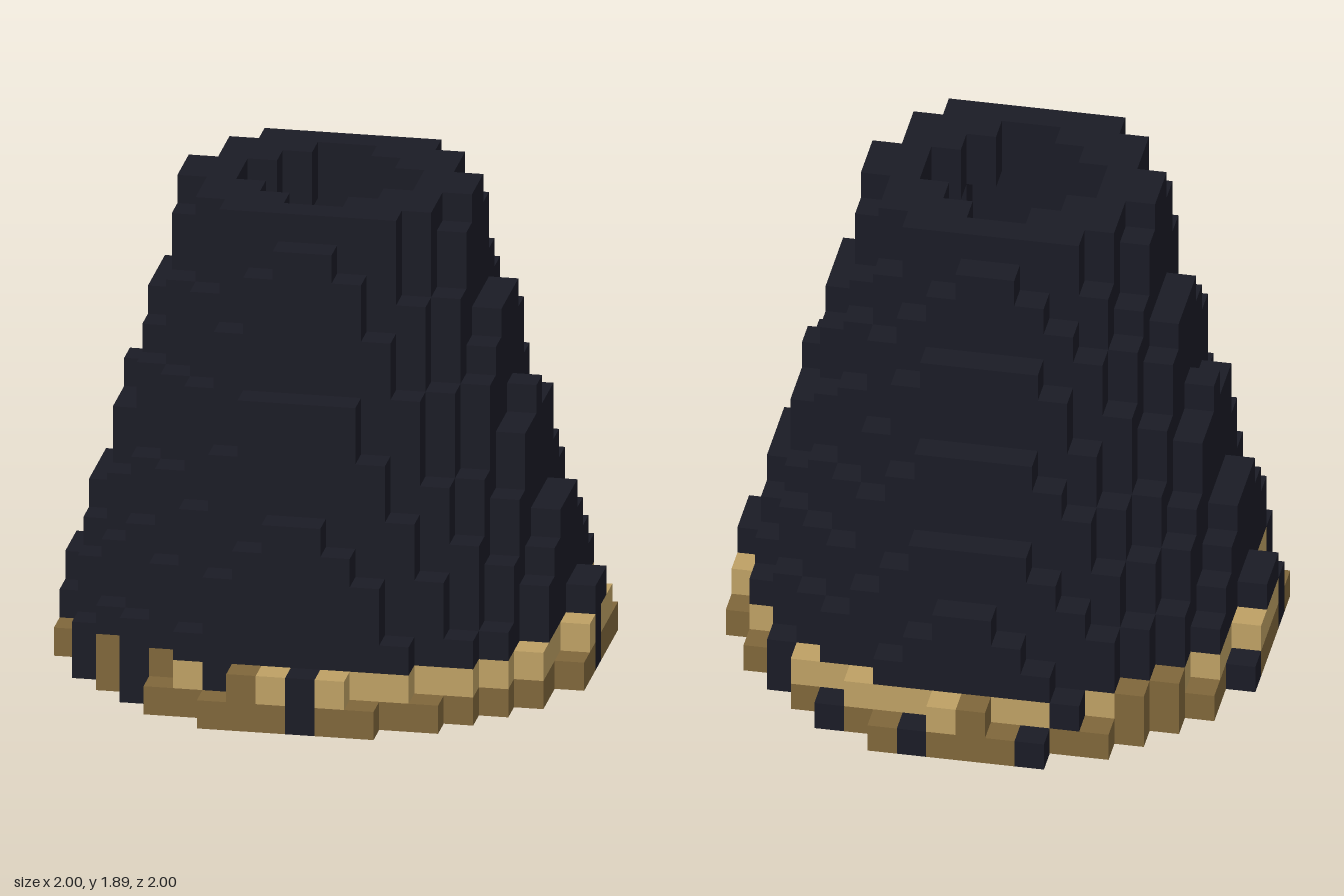
import * as THREE from 'three';

const UNIT = 1 / 9;   // edge of one block
const LAYERS = 17;
const HALF = 9;       // half width of the base, in blocks

const body = new THREE.MeshStandardMaterial({ color: 0x1a1b25 });
body.name = 'charcoal';
const gold = new THREE.MeshStandardMaterial({ color: 0xbea064 });
gold.name = 'lightGold';
const bronze = new THREE.MeshStandardMaterial({ color: 0x7f663a });
bronze.name = 'darkGold';

// Worn cells of the hem, as "x,z" block columns for layers 0 and 1
const DARK = [
  new Set(['-8,4', '-6,6', '0,8', '8,0', '6,-6', '4,-8', '-3,-9', '1,-9', '-9,-3', '-9,1',
    '-4,6', '-7,3', '-4,-7', '-5,-6', '-6,-5', '-7,-4']),
  new Set(['-9,1', '-8,4', '-6,6', '-3,7', '0,8', '8,0', '7,-3', '6,-6', '-4,-8', '1,-9',
    '-4,6', '-7,3']),
];
const DULL = new Set(['-7,5', '-5,6', '-2,8', '-6,-7', '-7,-6', '-1,-9', '-2,-9']);

// Hollow tapering shell about two blocks thick: oval outside, round inside,
// its axis leaning to the front
function filled(i, k, j) {
  if (k < 0 || k >= LAYERS) return false;
  const x = i + 0.5, z = j + 0.5 - k / 16;
  const rx = 9.1 - 0.285 * k, rz = rx - 0.18;
  const inner = 7.05 - 0.28 * k;
  return (x / rx) ** 2 + (z / rz) ** 2 < 1 && x * x + z * z > inner * inner;
}

function partAt(i, k, j) {
  if (k > 1) return 'coneBody';
  const key = `${i},${j}`;
  if (DARK[k].has(key)) return 'hemGaps';
  return k === 0 || DULL.has(key) ? 'lowerHem' : 'upperHem';
}

// Add each exposed face of a block as two triangles
function addBlock(out, cell) {
  for (let a = 0; a < 3; a++) {
    const u = (a + 1) % 3, v = (a + 2) % 3;
    for (const s of [1, -1]) {
      const next = [...cell];
      next[a] += s;
      if (filled(...next)) continue;
      const quad = [[0, 0], [1, 0], [1, 1], [0, 1]].map(([du, dv]) => {
        const p = [...cell];
        if (s > 0) p[a] += 1;
        p[u] += du;
        p[v] += dv;
        return p.map((c) => c * UNIT);
      });
      if (s < 0) quad.reverse();
      for (const n of [0, 1, 2, 0, 2, 3]) out.push(...quad[n]);
    }
  }
}

export function createModel() {
  const parts = {
    coneBody: { material: body, points: [] },
    hemGaps: { material: body, points: [] },
    lowerHem: { material: bronze, points: [] },
    upperHem: { material: gold, points: [] },
  };
  for (let k = 0; k < LAYERS; k++)
    for (let i = -HALF; i < HALF; i++)
      for (let j = -HALF; j < HALF; j++)
        if (filled(i, k, j)) addBlock(parts[partAt(i, k, j)].points, [i, k, j]);

  const group = new THREE.Group();
  group.name = 'blockSkirt';
  for (const [name, { material, points }] of Object.entries(parts)) {
    const geometry = new THREE.BufferGeometry();
    geometry.setAttribute('position', new THREE.Float32BufferAttribute(points, 3));
    geometry.computeVertexNormals();
    const mesh = new THREE.Mesh(geometry, material);
    mesh.name = name;
    group.add(mesh);
  }
  return group;
}
